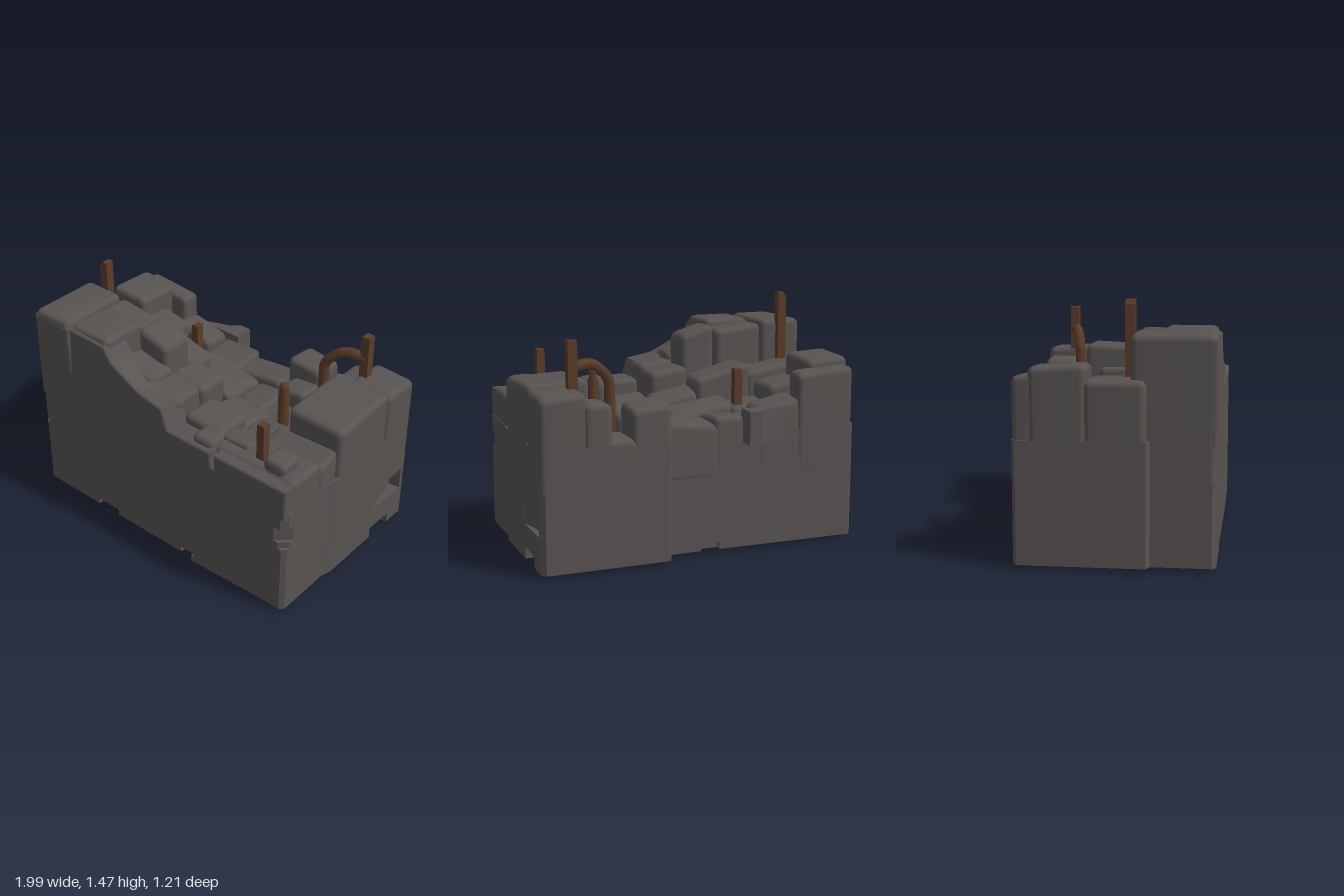
import * as THREE from 'three';
import { mergeVertices } from 'three/addons/utils/BufferGeometryUtils.js';
import { RoundedBoxGeometry } from 'three/addons/geometries/RoundedBoxGeometry.js';

const concrete = new THREE.MeshStandardMaterial({ color: 0x575351 });
concrete.name = 'concrete';
const rust = new THREE.MeshStandardMaterial({ color: 0x5a3c29 });
rust.name = 'rust';

function add(group, name, geometry, material = concrete) {
  const mesh = new THREE.Mesh(geometry, material);
  mesh.name = name;
  group.add(mesh);
  return mesh;
}

const toShape = (pts) => new THREE.Shape(pts.map(([x, y]) => new THREE.Vector2(x, y)));

// Footprint of the block with optional bites; a right bite deepens from d0 to d1
function footprint({ front = [], right = [], back = [], corner = 0.025 }) {
  const pts = [[-0.955, 0.6 - corner], [-0.955 + corner, 0.6]];
  for (const [a, b, d] of front) pts.push([a, 0.6], [a, 0.6 - d], [b, 0.6 - d], [b, 0.6]);
  pts.push([0.975 - corner, 0.6], [0.975, 0.6 - corner], [0.975, 0.22], [0.993, 0.15]);
  for (const [a, b, d0, d1] of right) pts.push([0.993, a], [0.993 - d0, a], [0.993 - d1, b], [0.993, b - 0.01]);
  pts.push([0.993, corner - 0.605], [0.993 - corner, -0.605], [0.24, -0.605], [0.22, -0.585], [0.22, -0.5]);
  for (const [a, b, d] of back) pts.push([a, -0.5], [a, -0.5 + d], [b, -0.5 + d], [b, -0.5]);
  pts.push([-0.98, -0.51], [-1, -0.49], [-1, 0.22], [-0.955, 0.24]);
  return toShape(pts.map(([x, z]) => [x, -z]));
}

// Plan outline raised from y0 to y1
function raise(shape, y0, y1) {
  const geo = new THREE.ExtrudeGeometry(shape, { depth: y1 - y0, bevelEnabled: false });
  return geo.rotateX(-Math.PI / 2).translate(0, y0, 0);
}

function layer(group, y0, y1, bites) {
  add(group, 'blockLayer', raise(footprint(bites), y0, y1));
}

// Worn lump of concrete; tx and tz tilt its top
function chunk(group, x0, x1, z0, z1, top, tx = 0, tz = 0, base = 0.45) {
  const w = x1 - x0, d = z1 - z0, h = top - base;
  const r = Math.min(0.04, w * 0.25, d * 0.25);
  let geo = new RoundedBoxGeometry(w, h, d, 2, r);
  geo.deleteAttribute('uv');
  geo.deleteAttribute('normal');
  geo = mergeVertices(geo, 1e-4);
  const p = geo.attributes.position;
  for (let i = 0; i < p.count; i++) {
    if (p.getY(i) > 0) p.setY(i, p.getY(i) + p.getX(i) * tx + p.getZ(i) * tz);
  }
  geo.computeVertexNormals();
  add(group, 'brokenChunk', geo).position.set((x0 + x1) / 2, (top + base) / 2, (z0 + z1) / 2);
}

// Square bar with one chamfered top edge
function bar(group, x, z, y0, y1, size = 0.055, chamfer = 0.004) {
  const s = size / 2;
  const shape = toShape([[-s, y0], [s, y0], [s, y1], [chamfer - s, y1], [-s, y1 - chamfer * 1.4]]);
  const geo = new THREE.ExtrudeGeometry(shape, { depth: size, bevelEnabled: false });
  add(group, 'rebar', geo, rust).position.set(x, 0, z - s);
}

export function createModel() {
  const model = new THREE.Group();
  model.name = 'ruinedConcreteBlock';

  // Lower mass
  const core = new THREE.Group();
  core.name = 'core';
  model.add(core);
  layer(core, 0.025, 0.065, {
    front: [[-0.5, -0.33, 0.04], [0.2, 0.3, 0.04]], right: [[-0.25, -0.43, 0.05, 0.05]], back: [[0.0, -0.12, 0.04]],
  });
  layer(core, 0.065, 0.095, { right: [[-0.25, -0.43, 0.05, 0.05]] });
  layer(core, 0.095, 0.235, {});
  layer(core, 0.235, 0.38, { right: [[-0.25, -0.54, 0.002, 0.07]] });
  layer(core, 0.38, 0.48, {});
  layer(core, 0.48, 0.52, { corner: 0.05 });
  layer(core, 0.52, 0.62, { corner: 0.08, back: [[-0.42, -0.52, 0.05]] });
  layer(core, 0.62, 0.72, { corner: 0.035, back: [[-0.42, -0.52, 0.05]] });

  // Sagging lip on the underside
  const lip = new THREE.BoxGeometry(0.44, 0.04, 0.8);
  const lp = lip.attributes.position;
  for (let i = 0; i < lp.count; i++) {
    if (lp.getY(i) < 0 && (lp.getX(i) > 0 || lp.getZ(i) < 0)) lp.setY(i, 0.003);
  }
  lip.computeVertexNormals();
  add(core, 'undersideLip', lip).position.set(0.5, 0.02, 0.2);

  // Front wall with its broken top edge
  const wall = new THREE.ExtrudeGeometry(toShape([
    [-0.94, 0.7], [0.955, 0.7], [0.955, 0.885], [0.47, 0.885], [0.47, 0.79], [0.425, 0.79], [0.42, 0.885],
    [0.1, 0.885], [0.06, 1.02], [-0.1, 1.05], [-0.2, 1.1], [-0.33, 1.17], [-0.38, 1.25], [-0.645, 1.26],
    [-0.66, 0.95], [-0.675, 0.95], [-0.685, 1.25], [-0.94, 1.25],
  ]), { depth: 0.14, bevelThickness: 0.02, bevelSize: 0.012, bevelSegments: 2 });
  wall.translate(0, 0, 0.44);
  add(model, 'frontWall', wall);

  // Tapered ledge jutting from the back
  const ledge = toShape([[-0.6, 0.48], [-0.26, 0.48], [-0.26, 0.605], [-0.34, 0.605], [-0.38, 0.56]]);
  add(model, 'backLedge', raise(ledge, 0.66, 0.86));

  // High left side
  const left = new THREE.Group();
  left.name = 'leftRubble';
  model.add(left);
  chunk(left, -0.955, -0.68, 0.13, 0.598, 1.295);
  chunk(left, -0.66, -0.36, 0.28, 0.585, 1.295);
  chunk(left, -0.675, -0.36, 0.12, 0.32, 1.26, -0.1);
  chunk(left, -0.35, -0.13, 0.12, 0.34, 1.25, -0.3);
  chunk(left, -0.36, -0.1, 0.3, 0.5, 1.12, -0.2);
  chunk(left, -1, -0.8, -0.12, 0.22, 1.05);
  chunk(left, -1, -0.73, -0.42, -0.1, 1.12, -0.06, 0.05);
  chunk(left, -0.99, -0.62, -0.51, -0.37, 1.06, -0.08, 0.1);
  chunk(left, -0.82, -0.48, -0.09, 0.14, 1.03, -0.15);
  chunk(left, -0.75, -0.52, -0.32, -0.07, 0.97, -0.2);
  chunk(left, -0.64, -0.36, -0.505, -0.3, 0.88, -0.2, 0.1);
  chunk(left, -0.54, -0.3, -0.3, -0.08, 0.84, -0.1, 0.15);

  // Low middle
  const middle = new THREE.Group();
  middle.name = 'middleRubble';
  model.add(middle);
  chunk(middle, -0.5, -0.14, -0.1, 0.15, 1.02, -0.25);
  chunk(middle, -0.15, 0.1, 0.06, 0.28, 1.02, -0.12);
  chunk(middle, -0.14, 0.09, 0.27, 0.5, 1.04, -0.1);
  chunk(middle, -0.37, -0.08, -0.505, -0.25, 0.81, 0.05, -0.1);
  chunk(middle, -0.12, 0.24, -0.505, -0.28, 0.8, 0.12, 0.05);
  chunk(middle, -0.3, 0.1, -0.28, -0.08, 0.84, -0.15, 0.2);
  chunk(middle, -0.15, 0.14, -0.1, 0.09, 0.89, -0.2, 0.2);
  chunk(middle, 0.08, 0.3, -0.3, -0.02, 0.78, 0.1);
  chunk(middle, 0.1, 0.38, -0.03, 0.24, 0.84, -0.1, 0.2);
  chunk(middle, 0.12, 0.4, 0.22, 0.47, 0.95, -0.05);
  chunk(middle, 0.27, 0.42, 0.4, 0.57, 0.94, -0.05);

  // Right end
  const right = new THREE.Group();
  right.name = 'rightRubble';
  model.add(right);
  chunk(right, 0.62, 0.993, -0.34, 0.14, 1.05, -0.04, -0.04);
  chunk(right, 0.72, 0.993, -0.605, -0.33, 1.03, -0.05, 0.05);
  chunk(right, 0.57, 0.74, -0.605, -0.4, 0.97, 0.1);
  chunk(right, 0.22, 0.46, -0.605, -0.38, 0.94, -0.1, 0.1);
  chunk(right, 0.42, 0.62, -0.605, -0.28, 0.76, 0.05);
  chunk(right, 0.27, 0.48, -0.4, -0.2, 0.86, 0.1, 0.1);
  chunk(right, 0.27, 0.63, -0.2, 0.07, 0.78, 0.1, -0.05);
  chunk(right, 0.38, 0.66, 0.06, 0.25, 0.86, 0.1);
  chunk(right, 0.55, 0.975, 0.12, 0.3, 0.88, 0.05, -0.3);
  chunk(right, 0.4, 0.972, 0.27, 0.54, 0.91);
  chunk(right, 0.74, 0.89, 0.36, 0.52, 0.98, -0.06, 0, 0.7);
  chunk(right, 0.38, 0.6, 0.32, 0.46, 0.93, 0.05, 0.1);

  // Rusty reinforcing bars
  const bars = new THREE.Group();
  bars.name = 'rebars';
  model.add(bars);
  bar(bars, -0.81, 0.12, 0.8, 1.47, 0.055, 0.02);
  bar(bars, 0.755, -0.43, 0.8, 1.305);
  bar(bars, 0.69, 0.45, 0.8, 1.14, 0.05);
  bar(bars, -0.36, -0.2, 0.7, 1.05, 0.05, 0.012);

  const knobBar = new THREE.LatheGeometry([
    [0.032, 0.7], [0.034, 0.99], [0.022, 1.02], [0.029, 1.045], [0.027, 1.075], [0, 1.085],
  ].map(([r, y]) => new THREE.Vector2(r, y)), 6);
  add(bars, 'knobbedRebar', knobBar, rust).position.set(0.49, 0, 0.005);

  const bend = new THREE.CatmullRomCurve3([
    [0.51, 0.7, -0.36], [0.51, 1.03, -0.36], [0.535, 1.09, -0.365],
    [0.6, 1.15, -0.385], [0.66, 1.165, -0.405], [0.76, 1.15, -0.43],
  ].map((p) => new THREE.Vector3(...p)), false, 'catmullrom', 0.15);
  add(bars, 'bentRebar', new THREE.TubeGeometry(bend, 30, 0.032, 6), rust);

  return model;
}
